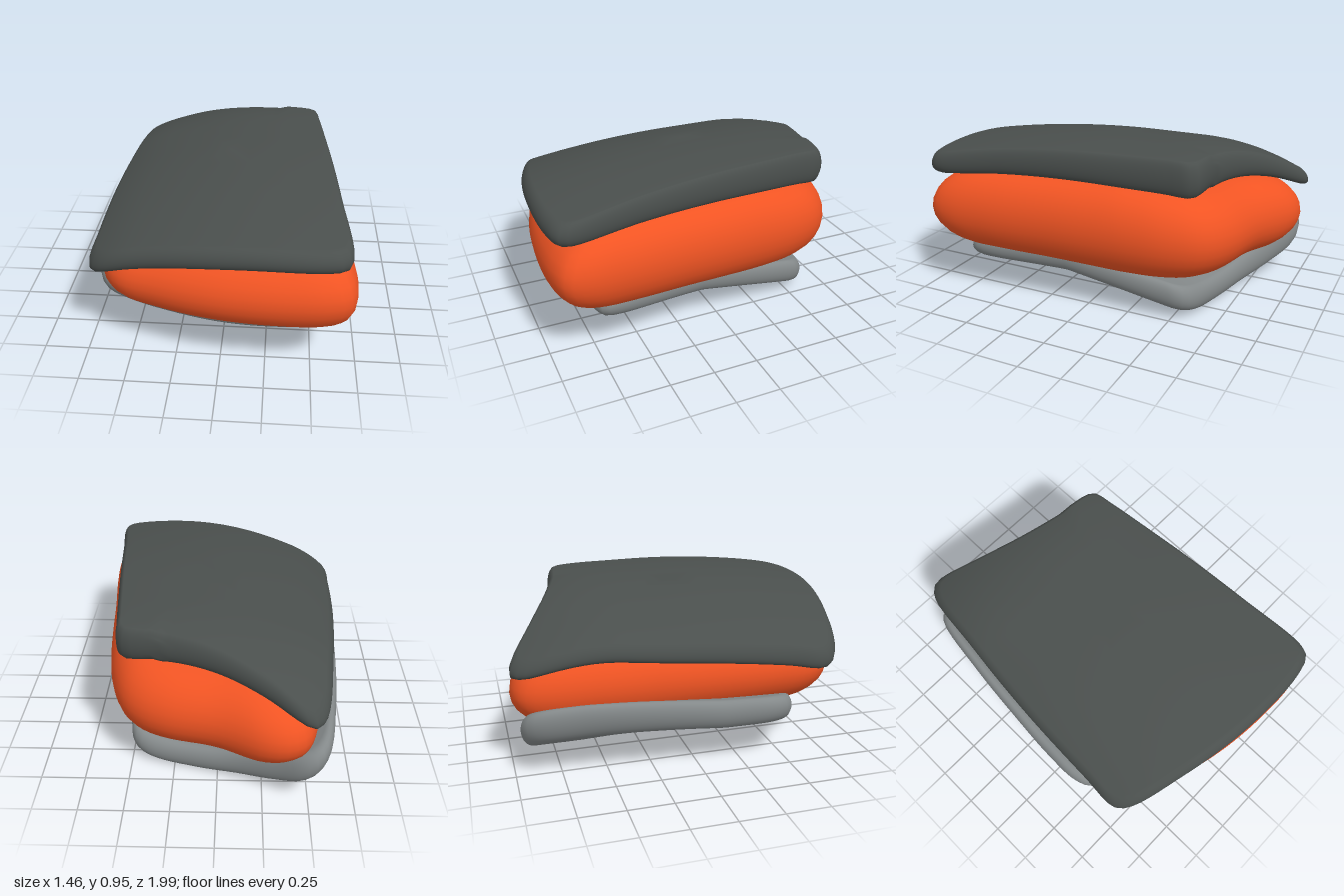
import * as THREE from 'three';

const clamp01 = (t) => Math.min(1, Math.max(0, t));

// Closed pillow-like slab: an [x, z] outline, upper and lower height rules,
// and a rounded rim of relative width `rim`.
function slab(name, color, outline, rim, top, bottom) {
  const N = 120;
  const curve = new THREE.CatmullRomCurve3(
    outline.map(([x, z]) => new THREE.Vector3(x, 0, z)), true, 'centripetal');
  const edge = curve.getSpacedPoints(N).slice(0, N);

  // Cross-section rings: [scale, level], level 1 = top, -1 = bottom
  const flat = [0, 0.2, 0.4, 0.55, 0.7, 0.82, 0.92].map((k) => k * (1 - rim));
  const rings = flat.map((s) => [s, 1]);
  for (let k = 0; k <= 14; k++) {
    const a = Math.PI * (0.5 - k / 14);
    rings.push([1 - rim + rim * Math.cos(a), Math.sin(a)]);
  }
  flat.reverse().forEach((s) => rings.push([s, -1]));

  const pos = [], index = [];
  for (const [s, v] of rings) {
    for (const p of edge) {
      const x = p.x * s, z = p.z * s;
      pos.push(x, THREE.MathUtils.lerp(bottom(x, z), top(x, z), (v + 1) / 2), z);
    }
  }
  for (let j = 0; j < rings.length - 1; j++) {
    for (let i = 0; i < N; i++) {
      const n = (i + 1) % N;
      const a = j * N + i, b = a + N, c = (j + 1) * N + n, d = j * N + n;
      if (j < rings.length - 2) index.push(a, b, c);
      if (j > 0) index.push(a, c, d);
    }
  }
  // Last ring collapses to a point, so its fan keeps only one triangle per side
  const last = (rings.length - 2) * N;
  for (let i = 0; i < N; i++) index.push(last + i, last + N, last + (i + 1) % N);

  const geo = new THREE.BufferGeometry();
  geo.setAttribute('position', new THREE.Float32BufferAttribute(pos, 3));
  geo.setIndex(index);
  geo.computeVertexNormals();
  // The collapsed centres get straight normals
  const nor = geo.attributes.normal;
  for (let i = 0; i < N; i++) {
    nor.setXYZ(i, 0, 1, 0);
    nor.setXYZ(last + N + i, 0, -1, 0);
  }
  const mesh = new THREE.Mesh(geo, new THREE.MeshStandardMaterial({ color }));
  mesh.name = name;
  return mesh;
}

export function createModel() {
  const group = new THREE.Group();
  group.name = 'layeredSlabs';

  // Upper plate: arched, curling down at the -x side and the back corner
  const upperTop = (x, z) =>
    0.947 - 0.235 * (x - 0.3) ** 2 * (x < 0.3 ? 1 : 0.6)
    - 0.5 * Math.max(0, -x - 0.45) ** 2
    - 0.09 * Math.max(0, z + 0.1) ** 2
    - 0.42 * Math.max(0, -z - 0.4) ** 2 * (x < 0.3 ? 1 : 0.5);
  const upperBottom = (x, z) =>
    upperTop(x, z) - (0.14 + 0.06 * x - 0.06 * x * z - 0.015 * z);
  group.add(slab('upperPlate', 0x4a4f4d, [
    [-0.35, 0.89], [0, 0.965], [0.35, 0.99], [0.56, 0.975], [0.65, 0.945], [0.675, 0.89],
    [0.64, 0.5], [0.595, 0], [0.545, -0.5], [0.53, -0.62], [0.5, -0.65],
    [0.25, -0.69], [0, -0.765], [-0.25, -0.88], [-0.44, -0.985], [-0.5, -1], [-0.56, -0.94],
    [-0.63, -0.5], [-0.68, 0], [-0.7, 0.5], [-0.7, 0.73], [-0.63, 0.8],
  ], 0.055, upperTop, upperBottom));

  // Middle cushion: thick with a fully rounded rim
  const cushionTop = (x, z) =>
    0.725 + 0.04 * x - 0.08 * Math.max(0, -z - 0.2) - 0.1 * Math.max(0, -x - 0.2) ** 2;
  const cushionBottom = (x, z) =>
    0.24 + 0.035 * z + 0.15 * Math.max(0, -x - 0.1) ** 2;
  group.add(slab('middleCushion', 0xf05423, [
    [-0.35, 0.86], [0, 0.95], [0.35, 0.985], [0.58, 0.975], [0.69, 0.93], [0.723, 0.82],
    [0.715, 0.6], [0.68, 0.25], [0.66, 0], [0.63, -0.3], [0.59, -0.5], [0.52, -0.655],
    [0.43, -0.74], [0.3, -0.8], [0, -0.87], [-0.26, -0.985], [-0.39, -0.99], [-0.49, -0.93],
    [-0.58, -0.55], [-0.64, 0], [-0.66, 0.45], [-0.645, 0.66], [-0.56, 0.78],
  ], 0.3, cushionTop, cushionBottom));

  // Lower plate: nearly level at the front, bellying down to the ground at the back
  const lowerBottom = (x, z) => {
    const back = 0.42 * (x - 0.15) ** 2;
    const front = 0.165 + 0.14 * x * x;
    return THREE.MathUtils.lerp(front, back, clamp01((0.12 - z) / 0.74));
  };
  const lowerTop = (x, z) =>
    lowerBottom(x, z) + 0.135 + 0.05 * Math.max(0, -x) - 0.03 * Math.max(0, z) + 0.03 * Math.max(0, -z);
  group.add(slab('lowerPlate', 0x84898a, [
    [-0.3, 0.64], [0, 0.7], [0.3, 0.735], [0.54, 0.745], [0.61, 0.72], [0.625, 0.64],
    [0.59, 0.3], [0.55, -0.1], [0.51, -0.45], [0.49, -0.55], [0.44, -0.6],
    [0.15, -0.67], [-0.1, -0.75], [-0.32, -0.87], [-0.47, -0.955], [-0.54, -0.955], [-0.6, -0.89],
    [-0.67, -0.5], [-0.71, -0.1], [-0.73, 0.2], [-0.725, 0.42], [-0.68, 0.52], [-0.56, 0.575],
  ], 0.07, lowerTop, lowerBottom));

  return group;
}
